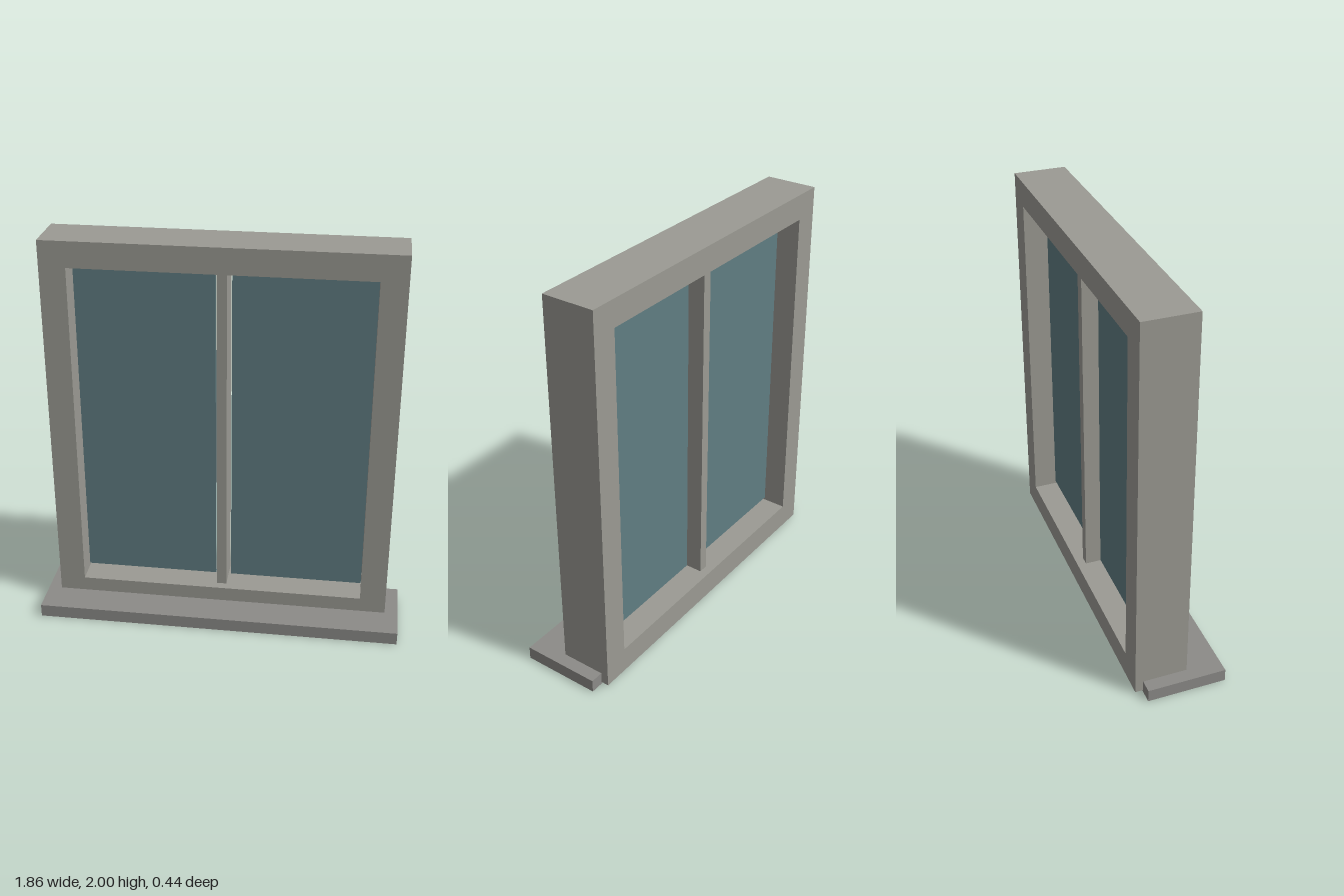
import * as THREE from 'three';

export function createModel() {
  const model = new THREE.Group();
  model.name = 'window';
  const frameGrey = new THREE.MeshStandardMaterial({ color: 0x9b9a93 });
  const sillGrey = new THREE.MeshStandardMaterial({ color: 0x8c8b88 });
  const glass = new THREE.MeshStandardMaterial({ color: 0x607d82 });

  // Box given by its [min, max] extents on each axis
  function box(name, [x0, x1], [y0, y1], [z0, z1], material) {
    const mesh = new THREE.Mesh(new THREE.BoxGeometry(x1 - x0, y1 - y0, z1 - z0), material);
    mesh.position.set((x0 + x1) / 2, (y0 + y1) / 2, (z0 + z1) / 2);
    mesh.name = name;
    model.add(mesh);
  }

  const rect = (Type, x, y0, y1) => new Type([
    new THREE.Vector2(-x, y0), new THREE.Vector2(x, y0),
    new THREE.Vector2(x, y1), new THREE.Vector2(-x, y1),
  ]);

  // Outer frame with one large opening
  const outline = rect(THREE.Shape, 0.863, 0.01, 2);
  outline.holes.push(rect(THREE.Path, 0.732, 0.142, 1.87));
  const frame = new THREE.Mesh(
    new THREE.ExtrudeGeometry(outline, { depth: 0.265, bevelEnabled: false }), frameGrey);
  frame.position.z = -0.22;
  frame.name = 'frame';
  model.add(frame);

  // Central upright, set back from both frame faces
  box('mullion', [-0.025, 0.025], [0.142, 1.87], [-0.175, 0], frameGrey);

  // Panes, with narrow gaps above, below and beside the mullion
  box('leftPane', [0.04, 0.731], [0.157, 1.855], [-0.099, -0.077], glass);
  box('rightPane', [-0.731, -0.04], [0.157, 1.855], [-0.099, -0.077], glass);

  // Projecting sill
  box('sill', [-0.93, 0.93], [0, 0.066], [-0.18, 0.22], sillGrey);

  return model;
}
